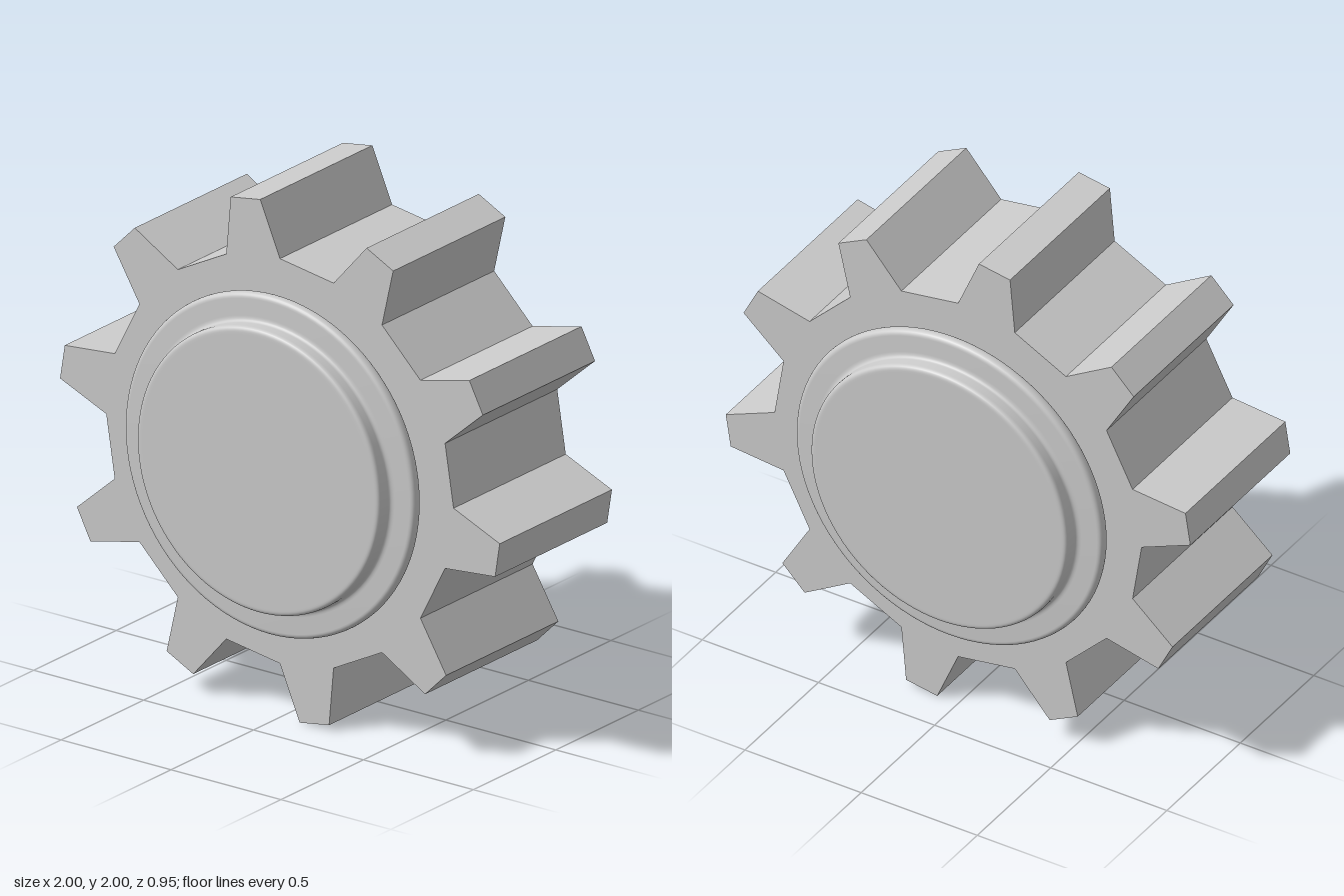
import * as THREE from 'three';

const TEETH = 10, ROOT = 0.79, TIP = 1.004, HALF_DEPTH = 0.34;

// Toothed outline: straight flanks and flat tips, roots every 18 degrees
function gearShape() {
  const pts = [];
  const polar = (deg, r) => {
    const a = THREE.MathUtils.degToRad(deg);
    pts.push(new THREE.Vector2(r * Math.cos(a), r * Math.sin(a)));
  };
  for (let i = 0; i < TEETH; i++) {
    const centre = -9 + (i * 360) / TEETH;
    polar(centre - 9, ROOT);
    polar(centre - 3.87, TIP);
    polar(centre + 3.87, TIP);
    polar(centre + 9, ROOT);
  }
  return new THREE.Shape(pts);
}

// Cap profile as [radius, height]: flared foot, rounded flange, fillet, rounded hub
function capGeometry() {
  const path = new THREE.Path();
  path.moveTo(0.57, 0.33);
  path.quadraticCurveTo(0.59, 0.35, 0.635, 0.358);
  path.quadraticCurveTo(0.661, 0.36, 0.661, 0.382);
  path.quadraticCurveTo(0.661, 0.406, 0.64, 0.407);
  path.lineTo(0.575, 0.409);
  path.quadraticCurveTo(0.553, 0.41, 0.553, 0.425);
  path.lineTo(0.553, 0.455);
  path.quadraticCurveTo(0.553, 0.475, 0.533, 0.475);
  path.lineTo(0.525, 0.475);
  path.lineTo(0, 0.475);
  const geo = new THREE.LatheGeometry(path.getPoints(6), 96);
  return geo.rotateX(Math.PI / 2);
}

export function createModel() {
  const group = new THREE.Group();
  group.name = 'gearWheel';
  const smooth = new THREE.MeshStandardMaterial({ color: 0xcccccc, side: THREE.DoubleSide });
  const flat = new THREE.MeshStandardMaterial({ color: 0xcccccc, flatShading: true });

  // Toothed body
  const bodyGeo = new THREE.ExtrudeGeometry(gearShape(), { depth: 2 * HALF_DEPTH, bevelEnabled: false });
  bodyGeo.translate(0, 0, -HALF_DEPTH);
  const body = new THREE.Mesh(bodyGeo, flat);
  body.name = 'toothedBody';
  body.position.y = 1;
  group.add(body);

  // Flanged hub cap on each face
  const capGeo = capGeometry();
  for (const [name, turn] of [['frontHubCap', 0], ['backHubCap', Math.PI]]) {
    const cap = new THREE.Mesh(capGeo, smooth);
    cap.name = name;
    cap.position.y = 1;
    cap.rotation.y = turn;
    group.add(cap);
  }
  return group;
}
